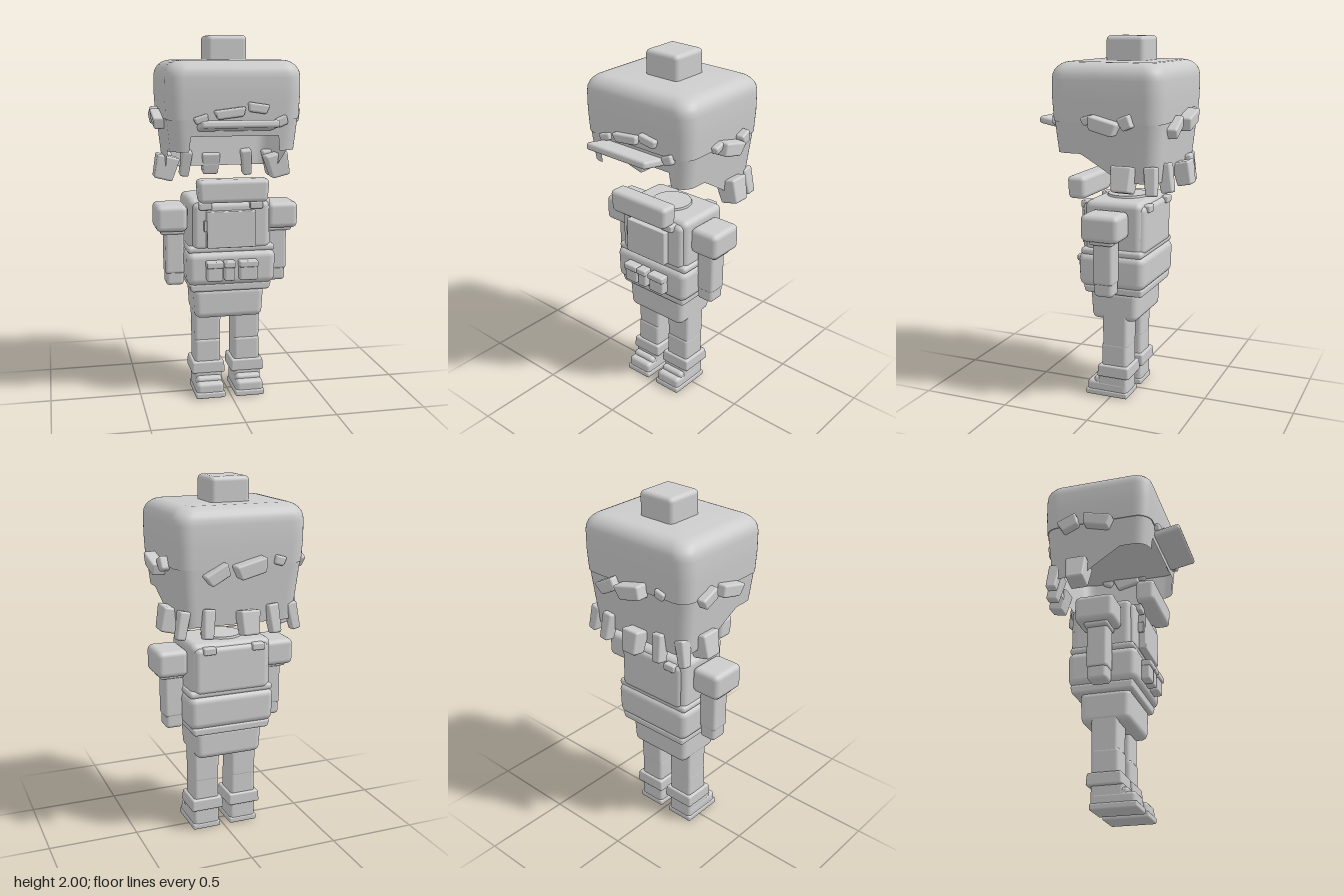
import * as THREE from 'three';
import { RoundedBoxGeometry } from 'three/addons/geometries/RoundedBoxGeometry.js';
import { toCreasedNormals } from 'three/addons/utils/BufferGeometryUtils.js';

const grey = new THREE.MeshStandardMaterial({ color: 0xcccccc, side: THREE.DoubleSide });
grey.name = 'matte grey';

// Rounded block from its extents; taper scales the bottom (in x and z), rot tilts it
function block(parent, name, [x0, x1], [y0, y1], [z0, z1], { r = 0.02, taper = 1, rot = [0, 0, 0] } = {}) {
  const w = x1 - x0, h = y1 - y0, d = z1 - z0;
  const geo = new RoundedBoxGeometry(w, h, d, 3, Math.min(r, w * 0.45, h * 0.45, d * 0.45));
  const p = geo.attributes.position;
  for (let i = 0; i < p.count; i++) {
    const s = THREE.MathUtils.lerp(taper, 1, p.getY(i) / h + 0.5);
    p.setX(i, p.getX(i) * s);
    p.setZ(i, p.getZ(i) * s);
  }
  const mesh = new THREE.Mesh(geo, grey);
  mesh.name = name;
  mesh.position.set((x0 + x1) / 2, (y0 + y1) / 2, (z0 + z1) / 2);
  mesh.rotation.set(...rot);
  parent.add(mesh);
}

// Points around a rounded rectangle, counter-clockwise in (x, -z)
function outline(hw, hd, r, n = 160) {
  const s = new THREE.Shape();
  s.absarc(hw - r, hd - r, r, 0, Math.PI / 2);
  s.absarc(r - hw, hd - r, r, Math.PI / 2, Math.PI);
  s.absarc(r - hw, r - hd, r, Math.PI, Math.PI * 1.5);
  s.absarc(hw - r, r - hd, r, Math.PI * 1.5, Math.PI * 2);
  s.closePath();
  return s.getSpacedPoints(n).slice(0, n);
}

// Surface through rings of [x, y, z] points, optionally closed at both ends
function loft(rings, capped) {
  const n = rings[0].length, pos = rings.flat(2), idx = [];
  for (let k = 0; k < rings.length - 1; k++) {
    for (let i = 0; i < n; i++) {
      const a = k * n + i, b = k * n + (i + 1) % n;
      idx.push(a, b, b + n, a, b + n, a + n);
    }
  }
  if (capped) {
    const top = (rings.length - 1) * n, c = rings.length * n;
    pos.push(0, rings[0][0][1], 0, 0, rings[rings.length - 1][0][1], 0);
    for (let i = 0; i < n; i++) {
      const j = (i + 1) % n;
      idx.push(c, j, i, c + 1, top + i, top + j);
    }
  }
  const geo = new THREE.BufferGeometry();
  geo.setAttribute('position', new THREE.Float32BufferAttribute(pos, 3));
  geo.setIndex(idx);
  return toCreasedNormals(geo, 0.7);
}

// Angular tufts on one side of the head: [along, height, length, thickness, protrusion, tilt]
function tuftRow(head, name, [x, z], turn, list) {
  const row = new THREE.Group();
  row.name = name;
  row.position.set(x, 0, z);
  row.rotation.y = turn;
  for (const [u, y, w, h, out, tilt] of list) {
    block(row, 'tuft', [u - w / 2, u + w / 2], [y - h / 2, y + h / 2], [-0.05, out],
      { r: 0.012, taper: 0.8, rot: [0, 0, tilt] });
  }
  head.add(row);
}

function buildHead() {
  const head = new THREE.Group();
  head.name = 'head';
  const cx = -0.007, cz = -0.032, hw = 0.36, hd = 0.312;

  // Crown: straight sides with a rounded top edge
  const ringAt = (y, inset) => outline(hw - inset, hd - inset, 0.085 - inset * 0.4)
    .map(p => [p.x + cx, y, -p.y + cz]);
  const rings = [ringAt(1.565, 0.006), ringAt(1.68, 0), ringAt(1.78, 0)];
  for (let i = 1; i <= 6; i++) {
    const a = i / 6 * Math.PI / 2;
    rings.push(ringAt(1.785 + 0.085 * Math.sin(a), 0.085 * (1 - Math.cos(a))));
  }
  const crown = new THREE.Mesh(loft(rings, true), grey);
  crown.name = 'crown';
  head.add(crown);

  // Lower shell: open at the face, its hem dropping towards the back
  const hem = (x, z) => {
    if (z > 0.2 && Math.abs(x) < 0.25) return 1.48;
    return THREE.MathUtils.lerp(1.26, 1.4, THREE.MathUtils.clamp((z + 0.13) / 0.24, 0, 1));
  };
  const pts = outline(hw - 0.01, hd - 0.01, 0.08);
  const shellRings = [1, 0.66, 0.33, 0].map(t => pts.map(p => {
    const y = THREE.MathUtils.lerp(1.57, hem(p.x, -p.y + cz), t);
    const s = 1 - 0.3 * (1.57 - y);
    return [p.x * s + cx, y, -p.y * s + cz];
  }));
  const shell = new THREE.Mesh(loft(shellRings, false), grey);
  shell.name = 'lowerShell';
  head.add(shell);

  block(head, 'topKnob', [-0.117, 0.1], [1.84, 2], [-0.16, 0.058], { r: 0.025 });
  block(head, 'visor', [-0.21, 0.195], [1.52, 1.56], [0.255, 0.41], { r: 0.015, rot: [-0.19, 0, 0] });

  tuftRow(head, 'frontTufts', [0, 0.28], 0, [
    [-0.04, 1.6, 0.17, 0.05, 0.03, 0.12],
    [0.108, 1.625, 0.115, 0.05, 0.03, -0.15],
    [-0.19, 1.57, 0.08, 0.04, 0.02, 0.3],
    [0.235, 1.555, 0.07, 0.05, 0.02, 0.4],
  ]);
  tuftRow(head, 'leftTufts', [0.353, 0], Math.PI / 2, [
    [0.045, 1.555, 0.165, 0.075, 0.06, -0.25],
    [-0.045, 1.58, 0.07, 0.045, 0.03, 0.3],
    [0.165, 1.575, 0.07, 0.07, 0.04, 0.4],
  ]);
  tuftRow(head, 'rightTufts', [-0.367, 0], -Math.PI / 2, [
    [-0.015, 1.555, 0.17, 0.07, 0.048, -0.25],
    [-0.18, 1.565, 0.12, 0.07, 0.04, 0.4],
  ]);
  tuftRow(head, 'backTufts', [0, -0.344], Math.PI, [
    [0.035, 1.56, 0.175, 0.08, 0.065, 0.25],
    [-0.14, 1.535, 0.14, 0.07, 0.04, 0.5],
    [0.205, 1.585, 0.065, 0.05, 0.017, -0.3],
  ]);

  // Locks hanging around the nape, mirrored left and right
  for (const s of [1, -1]) {
    const span = (a, b) => (s > 0 ? [a, b] : [-b, -a]);
    const style = (x, z) => ({ r: 0.012, taper: 0.8, rot: [x, 0, s * z] });
    block(head, 'sideLock', span(0.26, 0.39), [1.21, 1.345], [-0.2, -0.08], style(0, 0.25));
    block(head, 'cornerLock', span(0.28, 0.34), [1.2, 1.35], [-0.32, -0.25], style(0.1, 0.2));
    block(head, 'backLock', span(0.15, 0.215), [1.2, 1.355], [-0.36, -0.28], style(0.2, 0.1));
  }
  block(head, 'napeLock', [-0.085, 0.025], [1.21, 1.34], [-0.4, -0.3], { r: 0.012, taper: 0.8, rot: [0.2, 0, 0] });
  return head;
}

function buildBody() {
  const body = new THREE.Group();
  body.name = 'body';
  block(body, 'scarf', [-0.205, 0.185], [1.125, 1.25], [0.148, 0.255], { r: 0.025, taper: 0.95 });
  block(body, 'chest', [-0.235, 0.225], [0.84, 1.135], [-0.195, 0.13], { r: 0.035 });
  block(body, 'vestFront', [-0.215, 0.21], [0.85, 1.115], [0.07, 0.152], { r: 0.03 });
  block(body, 'vestBack', [-0.215, 0.21], [0.85, 1.115], [-0.21, -0.12], { r: 0.03 });
  block(body, 'vestHem', [-0.245, 0.24], [0.835, 0.875], [-0.205, 0.15], { r: 0.018 });
  block(body, 'chestPanel', [-0.145, 0.125], [0.87, 1.07], [0.14, 0.19], { r: 0.006 });
  block(body, 'panelTab', [-0.158, -0.14], [0.96, 1.02], [0.14, 0.18], { r: 0.005 });

  // Neck opening on top of the chest
  const neck = new THREE.Mesh(new THREE.CylinderGeometry(0.11, 0.115, 0.02, 32), grey);
  neck.name = 'neckDisc';
  neck.position.set(-0.005, 1.137, -0.03);
  body.add(neck);

  // Shoulder buckles, front and back
  for (const x of [-0.15, 0.13]) {
    block(body, 'frontBuckle', [x - 0.035, x + 0.035], [1.078, 1.118], [0.12, 0.178], { r: 0.008 });
    block(body, 'backBuckle', [x - 0.035, x + 0.035], [1.078, 1.118], [-0.225, -0.17], { r: 0.008 });
  }

  block(body, 'abdomen', [-0.252, 0.245], [0.655, 0.845], [-0.217, 0.168], { r: 0.04, taper: 0.98 });
  for (const [a, b] of [[-0.148, -0.062], [-0.052, 0.005], [0.032, 0.13]]) {
    block(body, 'pouch', [a, b], [0.69, 0.79], [0.15, 0.21], { r: 0.01 });
    block(body, 'pouchFlap', [a - 0.003, b + 0.003], [0.765, 0.8], [0.15, 0.22], { r: 0.008 });
  }
  block(body, 'belt', [-0.235, 0.225], [0.615, 0.665], [-0.205, 0.145], { r: 0.015, taper: 0.95 });
  block(body, 'hips', [-0.207, 0.19], [0.455, 0.63], [-0.16, 0.12], { r: 0.035, taper: 0.95 });
  return body;
}

// side is +1 for the left limb, -1 for the right
function buildArm(side) {
  const arm = new THREE.Group();
  arm.name = side > 0 ? 'leftArm' : 'rightArm';
  const c = -0.007, span = (a, b) => (side > 0 ? [c + a, c + b] : [c - b, c - a]);
  block(arm, 'shoulder', span(0.225, 0.397), [0.945, 1.092], [-0.13, 0.085], { r: 0.03 });
  block(arm, 'sleeveCuff', span(0.235, 0.37), [0.925, 0.96], [-0.085, 0.045], { r: 0.012 });
  block(arm, 'forearm', span(0.238, 0.345), [0.7, 0.96], [-0.077, 0.037], { r: 0.018 });
  block(arm, 'hand', span(0.24, 0.34), [0.635, 0.73], [-0.074, 0.032]);
  return arm;
}

function buildLeg(side) {
  const leg = new THREE.Group();
  leg.name = side > 0 ? 'leftLeg' : 'rightLeg';
  const c = -0.007 + side * 0.112, span = h => [c - h, c + h];
  block(leg, 'thigh', span(0.077), [0.29, 0.52], [-0.1, 0.052], { taper: 0.95 });
  block(leg, 'shin', span(0.074), [0.12, 0.32], [-0.095, 0.055]);
  block(leg, 'bootCuff', span(0.09), [0.122, 0.19], [-0.11, 0.07], { r: 0.01, taper: 1.06 });
  block(leg, 'ankle', span(0.076), [0.04, 0.135], [-0.095, 0.075], { r: 0.015 });
  block(leg, 'shoe', span(0.077), [0.015, 0.088], [-0.095, 0.142], { r: 0.022, taper: 1.02 });
  block(leg, 'instep', span(0.073), [0.05, 0.112], [-0.05, 0.105]);
  block(leg, 'sole', span(0.083), [0, 0.035], [-0.1, 0.15], { r: 0.01 });
  return leg;
}

export function createModel() {
  const model = new THREE.Group();
  model.name = 'blockySoldier';
  model.add(buildHead(), buildBody());
  for (const side of [1, -1]) model.add(buildArm(side), buildLeg(side));
  return model;
}
